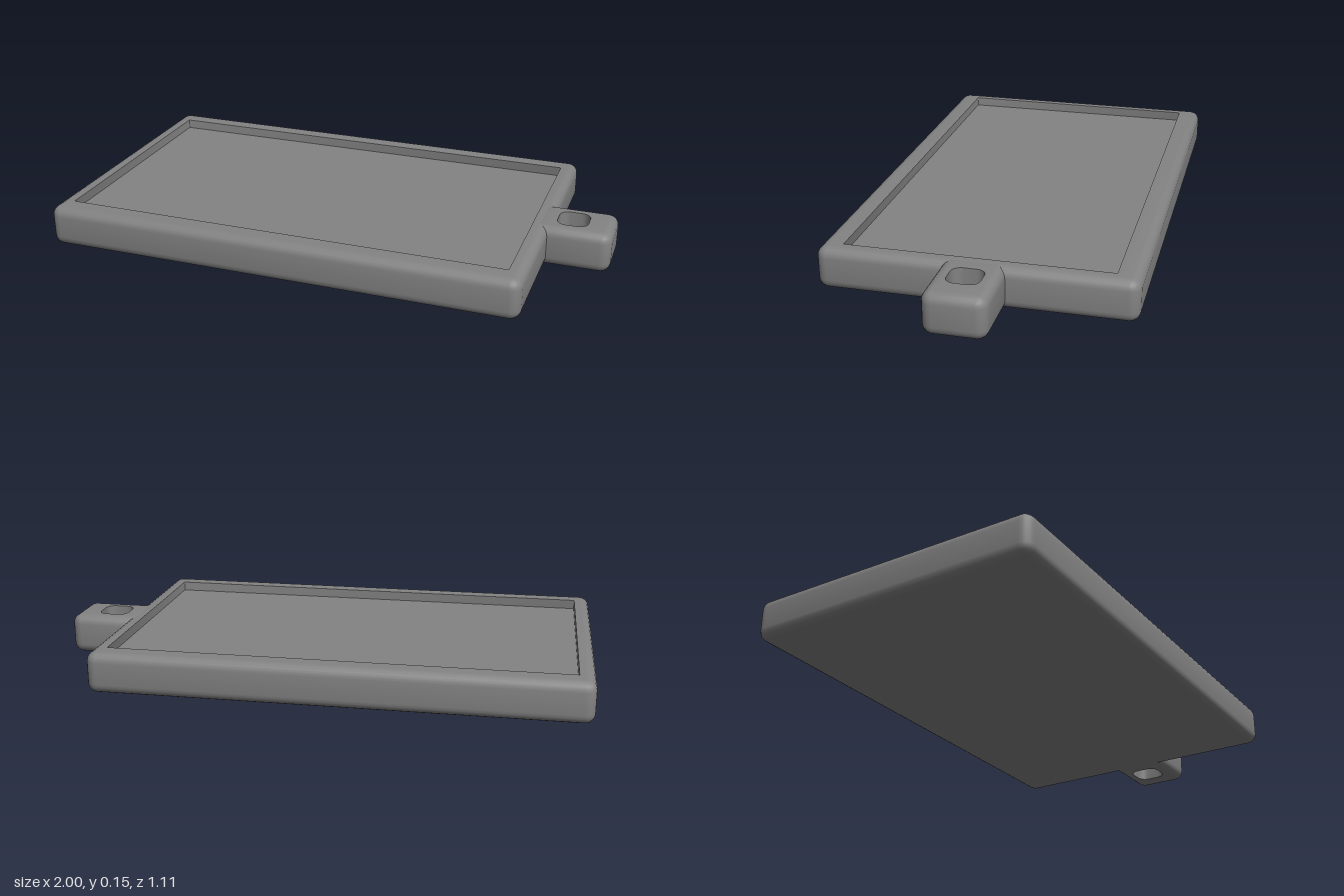
import * as THREE from 'three';
import { toCreasedNormals } from 'three/addons/utils/BufferGeometryUtils.js';

const STEPS = 5; // segments per rounded corner
const EDGE = 0.035; // rounding of the outer edges
const HEIGHT = 0.15;

// Rounded rectangle loop at height y; h = half sizes, r = corner radius
function ring(cx, y, hx, hz, r) {
  const points = [];
  for (let corner = 0; corner < 4; corner++) {
    const sx = corner === 0 || corner === 3 ? 1 : -1;
    const sz = corner < 2 ? 1 : -1;
    for (let i = 0; i <= STEPS; i++) {
      const a = (corner + i / STEPS) * Math.PI / 2;
      points.push(new THREE.Vector3(
        cx + sx * (hx - r) + r * Math.cos(a), y, sz * (hz - r) + r * Math.sin(a)));
    }
  }
  return points;
}

// Outer skin from the bottom face edge up to the top face edge
function outerRings(cx, hx, hz) {
  const rings = [];
  for (const top of [0, 1]) {
    for (let i = 0; i <= STEPS; i++) {
      const a = (top + i / STEPS - 1) * Math.PI / 2;
      const inset = EDGE * (1 - Math.cos(a));
      const y = (top ? HEIGHT - EDGE : EDGE) + EDGE * Math.sin(a);
      rings.push(ring(cx, y, hx - inset, hz - inset, 0.039 - inset));
    }
  }
  return rings;
}

// Skin a sequence of loops, leaving out collapsed triangles
function loft(name, rings) {
  const positions = [];
  const add = (a, b, c) => {
    if (new THREE.Triangle(a, b, c).getArea() > 1e-8) {
      for (const p of [a, b, c]) positions.push(p.x, p.y, p.z);
    }
  };
  for (let k = 0; k < rings.length - 1; k++) {
    const n = rings[k].length;
    for (let i = 0; i < n; i++) {
      const j = (i + 1) % n;
      add(rings[k][i], rings[k + 1][i], rings[k][j]);
      add(rings[k][j], rings[k + 1][i], rings[k + 1][j]);
    }
  }
  const geometry = new THREE.BufferGeometry();
  geometry.setAttribute('position', new THREE.Float32BufferAttribute(positions, 3));
  const mesh = new THREE.Mesh(
    toCreasedNormals(geometry, 0.6),
    new THREE.MeshStandardMaterial({ color: 0x838383 }));
  mesh.name = name;
  return mesh;
}

export function createModel() {
  const group = new THREE.Group();
  group.name = 'framedTag';

  // Plate with a shallow, sharp-cornered recess in its top
  const cx = -0.1135;
  const floorY = HEIGHT - 0.035;
  group.add(loft('plate', [
    ring(cx, 0, 0, 0, 0),
    ...outerRings(cx, 0.8865, 0.553),
    ring(cx, HEIGHT, 0.828, 0.469, 0.001),
    ring(cx, floorY, 0.828, 0.469, 0.001),
    ring(cx, floorY, 0, 0, 0),
  ]));

  // Hanging tab, rooted in the rim: the skin continues down through its hole
  const outer = outerRings(0.8575, 0.1425, 0.11);
  group.add(loft('hangingTab', [
    ...outer,
    ring(0.849, HEIGHT, 0.056, 0.058, 0.035),
    ring(0.849, 0, 0.056, 0.058, 0.035),
    outer[0],
  ]));

  return group;
}
